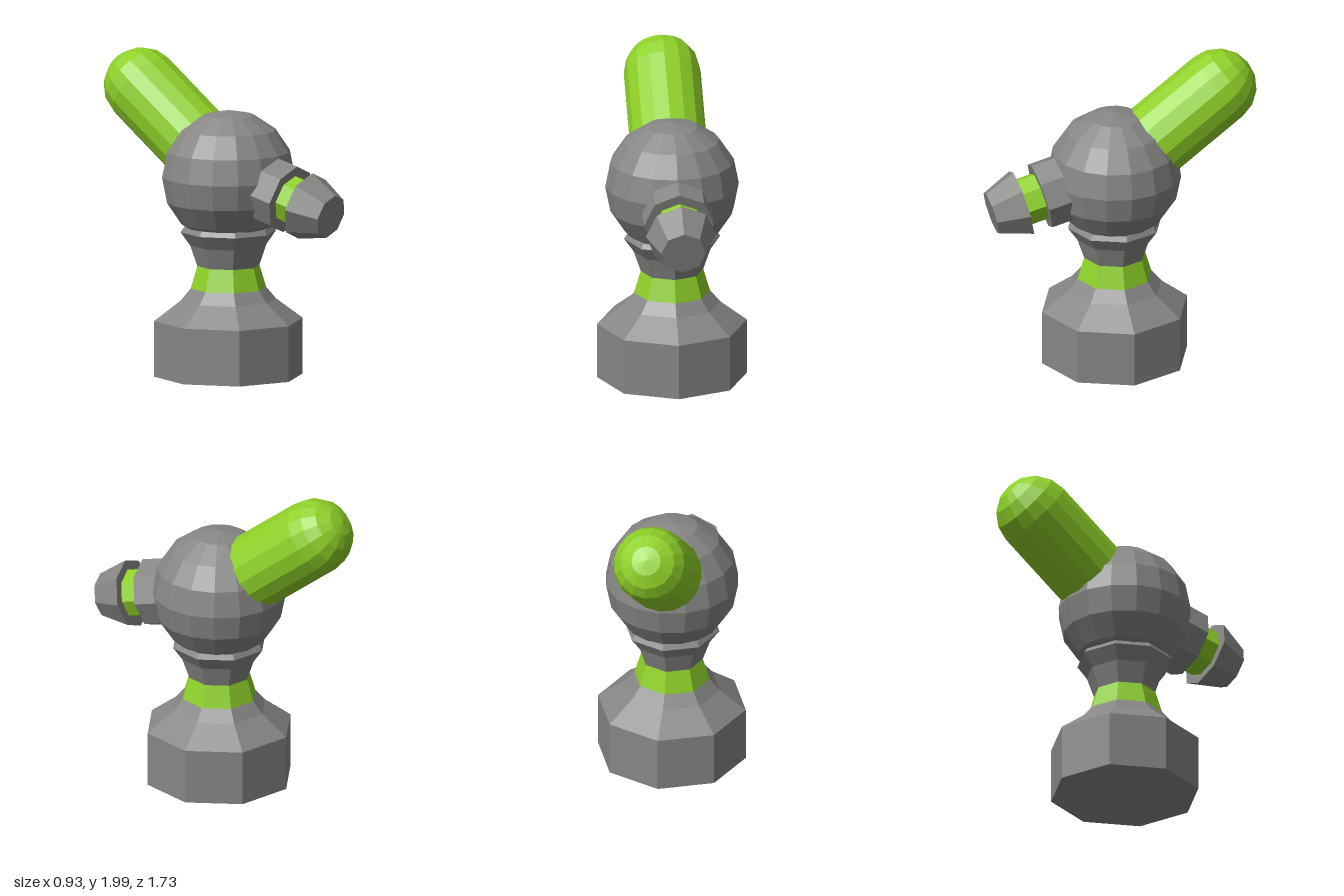
import * as THREE from 'three';

const gray = new THREE.MeshStandardMaterial({ color: 0x868684, flatShading: true });
gray.name = 'gray';
const green = new THREE.MeshStandardMaterial({ color: 0x8ed028, flatShading: true });
green.name = 'lime green';

// Turned part from [radius, height] pairs, listed bottom to top
function turned(name, profile, material, sides = 8) {
  const points = profile.map(([r, y]) => new THREE.Vector2(r, y));
  const mesh = new THREE.Mesh(new THREE.LatheGeometry(points, sides), material);
  mesh.name = name;
  return mesh;
}

export function createModel() {
  const model = new THREE.Group();
  model.name = 'lever';

  // Octagonal pedestal
  const pedestal = new THREE.Group();
  pedestal.name = 'pedestal';
  pedestal.position.z = 0.04;
  pedestal.add(
    turned('base', [[0, 0], [0.467, 0], [0.467, 0.35], [0.3, 0.475], [0.237, 0.55]], gray),
    turned('neckBand', [[0.237, 0.55], [0.195, 0.69]], green),
    turned('neck', [[0.195, 0.69], [0.24, 0.82], [0.3, 0.905], [0.28, 0.935], [0.2, 0.94]], gray)
  );

  // Ball joint
  const ball = new THREE.Mesh(new THREE.SphereGeometry(0.417, 16, 8), gray);
  ball.name = 'ball';
  ball.position.set(0, 1.25, 0.04);

  // Round-ended handle, leaning up and back from the ball
  const r = 0.24, domeStart = 0.838, steps = 4;
  const profile = [[r, 0.25]];
  for (let i = 0; i <= steps; i++) {
    const a = (i / steps) * Math.PI / 2;
    profile.push([i === steps ? 0 : r * Math.cos(a), domeStart + r * Math.sin(a)]);
  }
  const handle = turned('handle', profile, green, 16);
  handle.position.copy(ball.position);
  handle.rotation.x = THREE.MathUtils.degToRad(-52.8);

  // Nozzle, pointing forward and slightly down
  const nozzle = new THREE.Group();
  nozzle.name = 'nozzle';
  nozzle.position.set(0, 1.272, 0.04);
  nozzle.rotation.x = THREE.MathUtils.degToRad(104.3);
  nozzle.add(
    turned('nozzleCollar', [[0.218, 0.25], [0.218, 0.495], [0.155, 0.495]], gray),
    turned('nozzleBand', [[0.155, 0.495], [0.155, 0.617]], green),
    turned('nozzleHead', [[0.155, 0.617], [0.218, 0.617], [0.14, 0.818], [0, 0.818]], gray)
  );

  model.add(pedestal, ball, handle, nozzle);
  return model;
}
